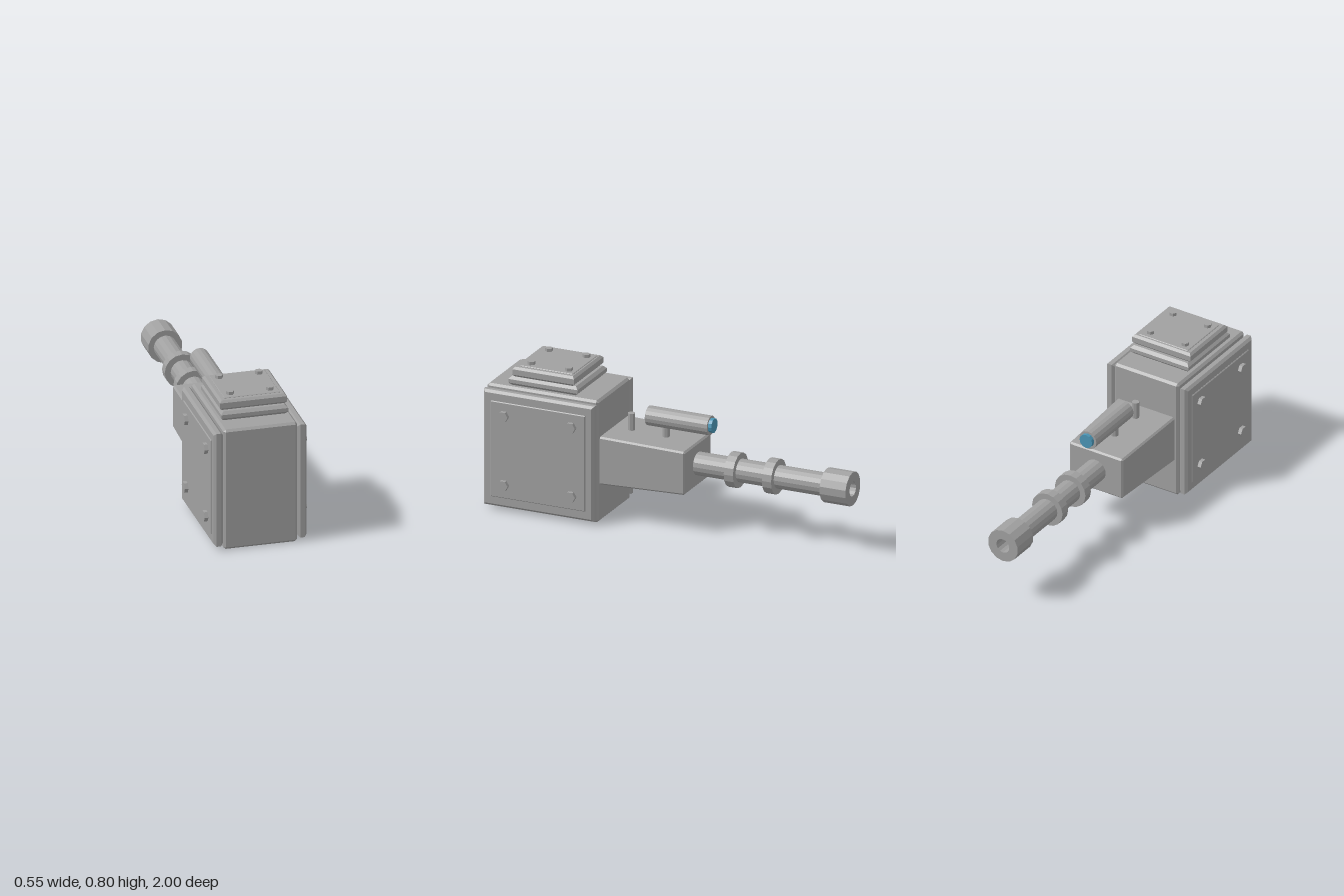
import * as THREE from 'three';
import { ConvexGeometry } from 'three/addons/geometries/ConvexGeometry.js';

const grey = new THREE.MeshStandardMaterial({ color: 0xa0a0a0 });
grey.name = 'gun grey';
const blue = new THREE.MeshStandardMaterial({ color: 0x4a94b4 });
blue.name = 'lens blue';

const SIGNS = [-1, 1];

// Faceted normals for the low-poly look
function flat(geometry) {
  const g = geometry.index ? geometry.toNonIndexed() : geometry;
  g.computeVertexNormals();
  return g;
}

// Box with every edge chamfered; the -z end may be scaled to taper it
function chamferBox(w, h, d, b, taperX = 1, taperY = 1) {
  const pts = [];
  for (const x of SIGNS) for (const y of SIGNS) for (const z of SIGNS) {
    const tx = z < 0 ? taperX : 1, ty = z < 0 ? taperY : 1;
    for (let k = 0; k < 3; k++) {
      pts.push(new THREE.Vector3(
        x * (w / 2 * tx - (k === 0 ? 0 : b)),
        y * (h / 2 * ty - (k === 1 ? 0 : b)),
        z * (d / 2 - (k === 2 ? 0 : b))));
    }
  }
  return flat(new ConvexGeometry(pts));
}

// Flat plate lying in xz whose top and bottom rims are bevelled
function plate(w, h, d, b) {
  const pts = [];
  for (const x of SIGNS) for (const y of SIGNS) for (const z of SIGNS) {
    pts.push(new THREE.Vector3(x * w / 2, y * (h / 2 - b), z * d / 2));
    pts.push(new THREE.Vector3(x * (w / 2 - b), y * h / 2, z * (d / 2 - b)));
  }
  return flat(new ConvexGeometry(pts));
}

const rod = (r, len, sides) => flat(new THREE.CylinderGeometry(r, r, len, sides));
// Rod running along z
const zRod = (r, len, sides) => rod(r, len, sides).rotateX(-Math.PI / 2);

export function createModel() {
  const model = new THREE.Group();
  model.name = 'turretGun';
  function add(name, geometry, x, y, z, material = grey) {
    const mesh = new THREE.Mesh(geometry, material);
    mesh.name = name;
    mesh.position.set(x, y, z);
    model.add(mesh);
    return mesh;
  }

  // Main housing
  add('housing', chamferBox(0.396, 0.675, 0.636, 0.012), 0, 0.3375, 0.682);

  // Armour plates on both sides, each with a raised panel and four hex bolts
  for (const s of SIGNS) {
    const turn = -s * Math.PI / 2;
    add('sidePlate', plate(0.638, 0.05, 0.632, 0.013).rotateZ(turn), s * 0.225, 0.34, 0.682);
    add('sidePanel', plate(0.53, 0.03, 0.54, 0.004).rotateZ(turn), s * 0.24, 0.34, 0.682);
    for (const y of [0.149, 0.531]) for (const z of [0.49, 0.875]) {
      add('sideBolt', rod(0.03, 0.03, 6).rotateZ(turn), s * 0.26, y, z);
    }
  }

  // Stacked plates on the roof
  add('roofPlateLower', plate(0.36, 0.05, 0.395, 0.015), 0, 0.7, 0.6875);
  add('roofPlateUpper', plate(0.36, 0.054, 0.352, 0.012), 0, 0.752, 0.686);
  add('roofPanel', plate(0.3, 0.02, 0.3, 0.003), 0, 0.773, 0.68);
  for (const x of [-0.107, 0.107]) for (const z of [0.573, 0.787]) {
    add('roofBolt', rod(0.021, 0.03, 6).rotateY(Math.PI / 6), x, 0.785, z);
  }

  // Tapered receiver
  add('receiver', chamferBox(0.354, 0.265, 0.49, 0.009, 0.93, 0.9), 0, 0.338, 0.13);

  // Barrel with two collars
  const barrelY = 0.342;
  add('barrel', zRod(0.062, 0.78, 16), 0, barrelY, -0.48);
  for (const z of [-0.332, -0.55]) add('barrelCollar', zRod(0.094, 0.053, 16), 0, barrelY, z);

  // Muzzle with a bored end
  const muzzle = [[0, 0], [0.092, 0], [0.092, 0.148], [0.04, 0.148], [0.04, 0.04], [0, 0.04]]
    .map(([r, y]) => new THREE.Vector2(r, y));
  add('muzzle', flat(new THREE.LatheGeometry(muzzle, 14)).rotateX(-Math.PI / 2), 0, barrelY, -0.852);

  // Sight tube, lens and posts
  add('sightTube', zRod(0.052, 0.355, 16), 0, 0.563, -0.012);
  add('sightLens', zRod(0.039, 0.02, 12), 0, 0.565, -0.199, blue);
  add('sightPost', rod(0.02, 0.1, 8), 0, 0.49, 0.067);
  add('rearPost', rod(0.02, 0.11, 8), 0, 0.505, 0.265);

  return model;
}
